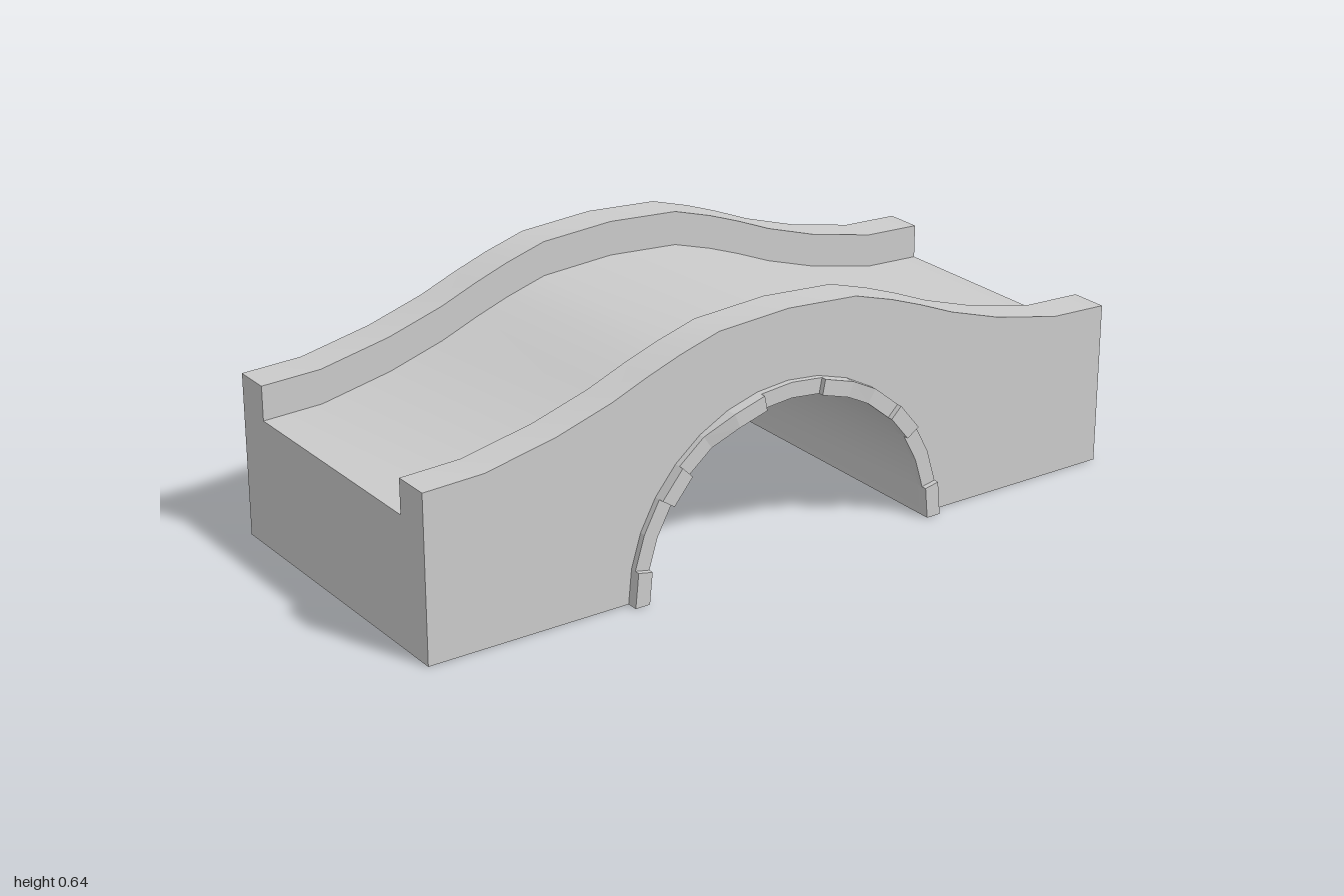
import * as THREE from 'three';

const HALF_W = 0.425, DECK_W = 0.325, DECK_DROP = 0.09;
const R_IN = 0.418, R_OUT = 0.458, STEPS = 16;
const material = new THREE.MeshStandardMaterial({ color: 0xcccccc, side: THREE.DoubleSide });

// Humped parapet outline, from the crown to one end, mirrored along z
const half = [[0, 0.64], [0.2, 0.627], [0.31, 0.594], [0.4, 0.561], [0.5, 0.52], [0.65, 0.473], [0.84, 0.433], [1, 0.427]];
const hump = [...half.slice(1).reverse().map(([z, y]) => [-z, y]), ...half];
const END_Y = 0.427;

const arch = Array.from({ length: STEPS + 1 }, (_, i) => {
  const a = (i / STEPS) * Math.PI;
  return [R_IN * Math.cos(a), R_IN * Math.sin(a)];
});

function addMesh(parent, name, geometry) {
  const mesh = new THREE.Mesh(geometry, material);
  mesh.name = name;
  parent.add(mesh);
  return mesh;
}

// Smooth strip along a [z, y] path, between (x0, dy0) and (x1, dy1)
function strip(path, x0, dy0, x1, dy1) {
  const pos = [], index = [];
  path.forEach(([z, y], i) => {
    pos.push(x0, y + dy0, z, x1, y + dy1, z);
    if (i) {
      const k = 2 * i;
      index.push(k - 2, k, k - 1, k - 1, k, k + 1);
    }
  });
  const g = new THREE.BufferGeometry();
  g.setAttribute('position', new THREE.Float32BufferAttribute(pos, 3));
  g.setIndex(index);
  g.computeVertexNormals();
  return g;
}

function flatShape(points) {
  return new THREE.ShapeGeometry(new THREE.Shape(points.map(([x, y]) => new THREE.Vector2(x, y))));
}

// Arch stone spanning two angles, with its own projection at each end
function stone(a0, a1, x0, x1) {
  const corner = (a, r, x) => [x, r * Math.sin(a), r * Math.cos(a)];
  const base = HALF_W - 0.005;
  const ring = (a, x) => [corner(a, R_IN, base), corner(a, R_OUT, base), corner(a, R_OUT, x), corner(a, R_IN, x)];
  const p = ring(a0, x0), q = ring(a1, x1);
  const pos = [];
  const quad = (a, b, c, d) => pos.push(...a, ...b, ...c, ...a, ...c, ...d);
  for (let i = 0; i < 4; i++) {
    const j = (i + 1) % 4;
    quad(p[i], q[i], q[j], p[j]);
  }
  quad(p[0], p[1], p[2], p[3]);
  quad(q[3], q[2], q[1], q[0]);
  const g = new THREE.BufferGeometry();
  g.setAttribute('position', new THREE.Float32BufferAttribute(pos, 3));
  g.computeVertexNormals();
  return g;
}

export function createModel() {
  const bridge = new THREE.Group();
  bridge.name = 'bridge';

  // Roadway and underside of the arch
  addMesh(bridge, 'deck', strip(hump, -DECK_W, -DECK_DROP, DECK_W, -DECK_DROP));
  addMesh(bridge, 'archSoffit', strip(arch, -HALF_W, 0, HALF_W, 0));

  // Side walls with the arch opening
  const wallOutline = [[-1, 0], ...[...arch].reverse(), [1, 0], ...[...hump].reverse()];
  for (const s of [1, -1]) {
    const side = s > 0 ? 'left' : 'right';
    const wall = addMesh(bridge, side + 'Wall', flatShape(wallOutline));
    wall.rotation.y = s * Math.PI / 2;
    wall.position.x = s * HALF_W;

    // Parapet top and its inner face
    const inner = s * DECK_W, outer = s * HALF_W;
    addMesh(bridge, side + 'ParapetTop', strip(hump, Math.min(inner, outer), 0, Math.max(inner, outer), 0));
    addMesh(bridge, side + 'ParapetInside', strip(hump, inner, s > 0 ? -DECK_DROP : 0, inner, s > 0 ? 0 : -DECK_DROP));
  }

  // End walls, notched for the roadway
  const low = END_Y - DECK_DROP;
  const endOutline = [[-HALF_W, 0], [HALF_W, 0], [HALF_W, END_Y], [DECK_W, END_Y],
    [DECK_W, low], [-DECK_W, low], [-DECK_W, END_Y], [-HALF_W, END_Y]];
  for (const s of [1, -1]) {
    const end = addMesh(bridge, s > 0 ? 'frontEnd' : 'backEnd', flatShape(endOutline));
    end.position.z = s;
    if (s < 0) end.rotation.y = Math.PI;
  }

  // Arch stones: proud and shallow ones alternate, symmetric about the crown
  const T = 0.455, S = 0.441;
  const projections = [[T, T], [S, S], [S, S], [T, T], [S, S], [S, T], [T, T], [S, S]];
  for (const side of [1, -1]) {
    const ring = new THREE.Group();
    ring.name = side > 0 ? 'leftArchRing' : 'rightArchRing';
    for (let i = 0; i < STEPS; i++) {
      const mirrored = i >= STEPS / 2;
      const [a, b] = projections[mirrored ? STEPS - 1 - i : i];
      const step = Math.PI / STEPS;
      addMesh(ring, 'archStone', stone(i * step, (i + 1) * step, mirrored ? b : a, mirrored ? a : b));
    }
    if (side < 0) ring.rotation.y = Math.PI;
    bridge.add(ring);
  }
  return bridge;
}
